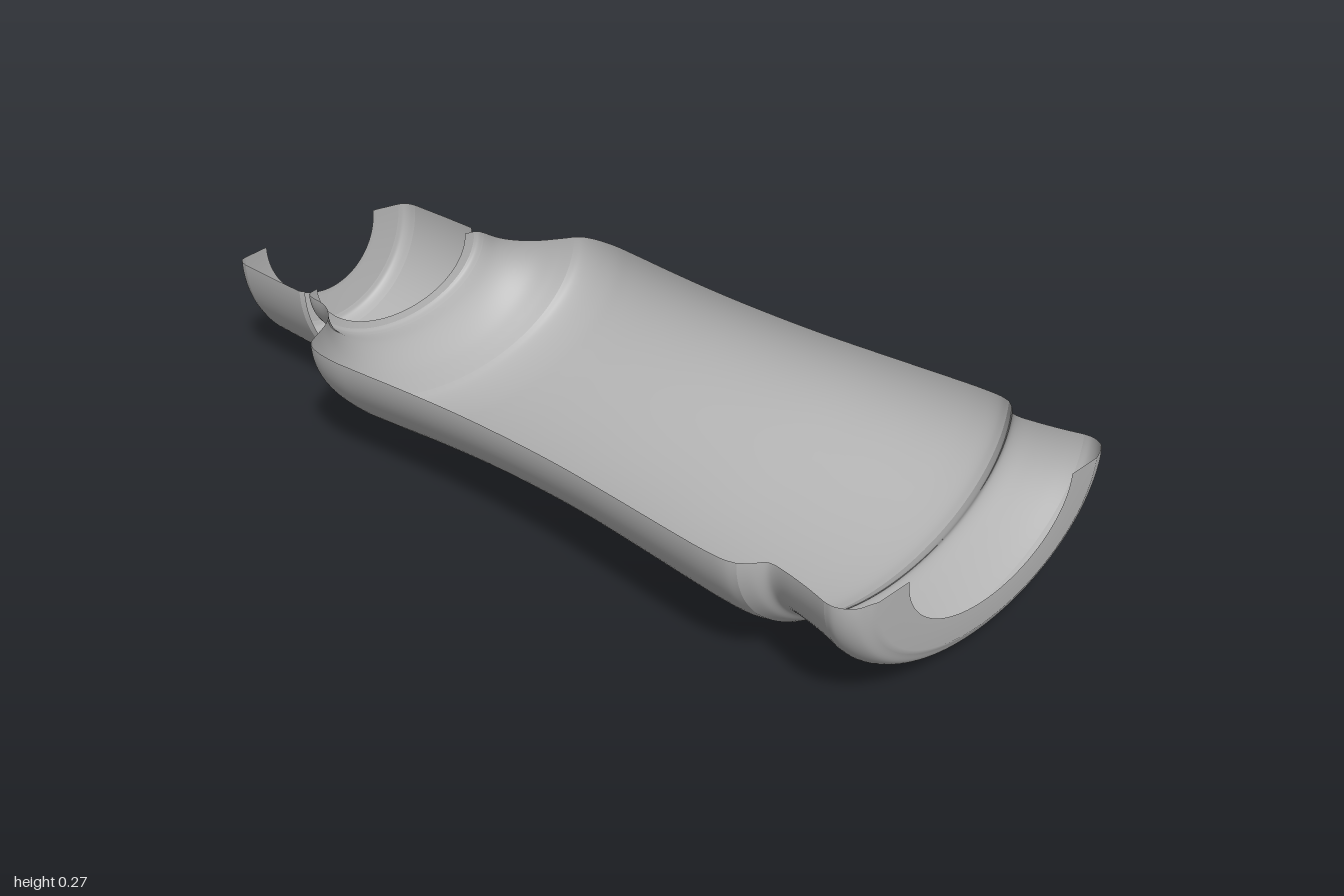
import * as THREE from 'three';

const AXIS_Y = 0.27; // height of the cut plane, which holds the bottle's axis

// Half shell swept below the axis; profile points are [radius, z], back to front
function halfShell(name, profile, flatten, material, smooth) {
  let pts = profile.map(([r, z]) => new THREE.Vector2(r, z));
  if (smooth) pts = new THREE.CatmullRomCurve3(
    pts.map(p => new THREE.Vector3(p.x, p.y, 0)), false, 'centripetal')
    .getPoints(profile.length * 5).map(p => new THREE.Vector2(p.x, p.y));
  const geo = new THREE.LatheGeometry(pts, 64, -Math.PI / 2, Math.PI);
  geo.rotateX(Math.PI / 2);
  geo.scale(1, flatten, 1);
  geo.translate(0, AXIS_Y, 0);
  const mesh = new THREE.Mesh(geo, material);
  mesh.name = name;
  return mesh;
}

export function createModel() {
  const model = new THREE.Group();
  model.name = 'halfBottle';
  const grey = new THREE.MeshStandardMaterial({ color: 0xb4b4b4, side: THREE.DoubleSide });
  grey.name = 'plain grey';

  const OVAL = 0.618; // body is oval, cap is round
  const add = (name, profile, flatten, smooth = false) =>
    model.add(halfShell(name, profile, flatten, grey, smooth));

  // Cap: end ring with a hole, rounded edge, open skirt
  add('capEnd', [[0.167, -1], [0.18, -0.999], [0.24, -0.987]], 1);
  add('capEdge', [[0.24, -0.987], [0.253, -0.981], [0.26, -0.97], [0.265, -0.95]], 1, true);
  add('capSkirt', [[0.265, -0.95], [0.267, -0.84], [0.267, -0.737]], 1);
  add('capRim', [[0.267, -0.737], [0.26, -0.726]], 1);

  // Neck lip and rounded neck edge
  add('neckLip', [[0.23, -0.718], [0.255, -0.712]], OVAL);
  add('neckEdge', [[0.255, -0.712], [0.263, -0.705], [0.267, -0.69]], OVAL, true);

  // Neck flaring into the shoulder
  add('shoulder', [[0.267, -0.69], [0.272, -0.64], [0.29, -0.6], [0.325, -0.56],
    [0.37, -0.53], [0.405, -0.51]], OVAL, true);

  // Waisted body
  add('body', [[0.405, -0.51], [0.42, -0.495], [0.432, -0.46], [0.437, -0.4], [0.432, -0.33],
    [0.418, -0.18], [0.408, -0.03], [0.405, 0.12], [0.408, 0.27], [0.419, 0.43],
    [0.432, 0.59], [0.437, 0.67], [0.436, 0.72], [0.429, 0.745]], OVAL, true);

  // Groove and flared foot
  add('groove', [[0.429, 0.745], [0.41, 0.765], [0.39, 0.78], [0.386, 0.795],
    [0.392, 0.84], [0.403, 0.89], [0.415, 0.932]], OVAL, true);
  add('footEdge', [[0.415, 0.932], [0.416, 0.95], [0.408, 0.97], [0.392, 0.986],
    [0.365, 0.995]], OVAL, true);

  // Base ring around the central opening
  add('baseRing', [[0.365, 0.995], [0.35, 1], [0.262, 1]], OVAL);
  return model;
}
